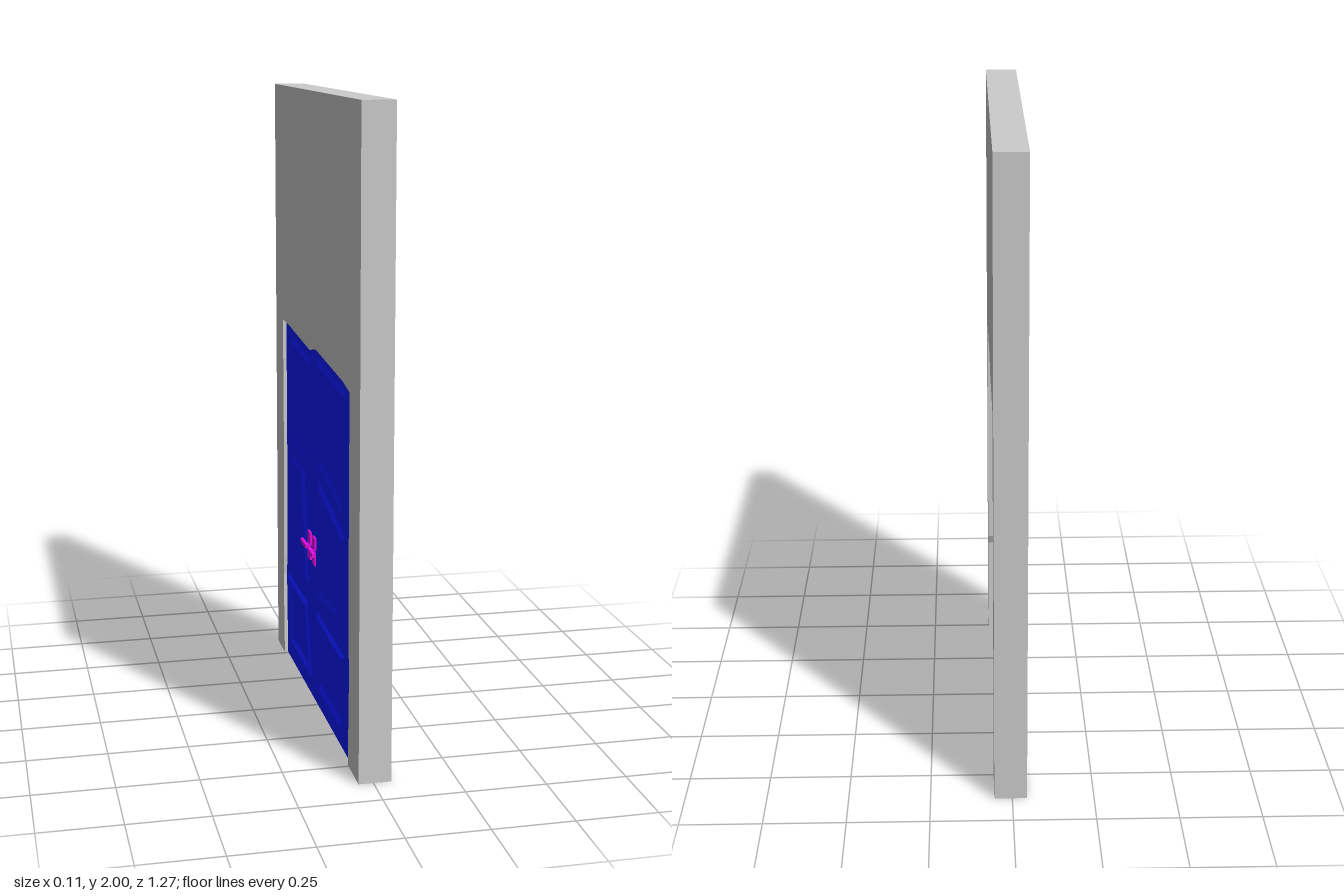
import * as THREE from 'three';

const grey = new THREE.MeshStandardMaterial({ color: 0xcccccc });
const blue = new THREE.MeshStandardMaterial({ color: 0x0f1aff });
const magenta = new THREE.MeshStandardMaterial({ color: 0xe30ce3 });

// Extrudes a [z, y] outline along x, from x0 to x1
function slab(name, points, x0, x1, material) {
  const shape = new THREE.Shape(points.map(([z, y]) => new THREE.Vector2(-z, y)));
  const geometry = new THREE.ExtrudeGeometry(shape, { depth: x1 - x0, bevelEnabled: false });
  geometry.rotateY(Math.PI / 2).translate(x0, 0, 0);
  const mesh = new THREE.Mesh(geometry, material);
  mesh.name = name;
  return mesh;
}

// Ridged moulding around a crooked panel; corners run top left, top right, bottom right, bottom left
function moulding(corners, x) {
  const cz = corners.reduce((s, c) => s + c[0], 0) / 4;
  const cy = corners.reduce((s, c) => s + c[1], 0) / 4;
  const rings = [[0, 0], [0.1, 0.008], [0.22, 0]]; // inset towards the centre, height
  const positions = [];
  const index = [];
  for (const [t, h] of rings) {
    for (const [z, y] of corners) positions.push(x - h, y + (cy - y) * t, z + (cz - z) * t);
  }
  for (let r = 0; r < rings.length - 1; r++) {
    for (let i = 0; i < 4; i++) {
      const j = (i + 1) % 4;
      const a = r * 4 + i, b = a + 4, d = r * 4 + j, c = d + 4;
      index.push(a, b, c, a, c, d);
    }
  }
  const indexed = new THREE.BufferGeometry();
  indexed.setAttribute('position', new THREE.Float32BufferAttribute(positions, 3));
  indexed.setIndex(index);
  const geometry = indexed.toNonIndexed();
  geometry.computeVertexNormals();
  const mesh = new THREE.Mesh(geometry, blue);
  mesh.name = 'panelMoulding';
  return mesh;
}

function box(name, sx, sy, sz, x, y, z) {
  const mesh = new THREE.Mesh(new THREE.BoxGeometry(sx, sy, sz), magenta);
  mesh.name = name;
  mesh.position.set(x, y, z);
  return mesh;
}

export function createModel() {
  const group = new THREE.Group();
  group.name = 'doubleDoorInWall';

  // Crooked doorway, split at the seam between the two leaves
  const frontSide = [[0.49, 0], [0.505, 0.33], [0.493, 0.36], [0.493, 0.52], [0.5, 1.16], [0.41, 1.175], [0.03, 1.2]];
  const seam = [[-0.068, 1.182], [-0.06, 0]];
  const backSide = [[-0.4, 1.205], [-0.512, 1.207], [-0.507, 0.8], [-0.515, 0.36], [-0.523, 0.29], [-0.51, 0]];

  // Wall with the doorway cut out of its foot
  const opening = [...frontSide, seam[0], ...backSide];
  group.add(slab('wall', [[-0.633, 0], [-0.633, 2], [0.633, 2], [0.633, 0], ...opening], -0.045, 0.055, grey));

  // Door leaves, set back from both wall faces
  const faceX = -0.033;
  group.add(slab('frontLeaf', [...frontSide, ...seam], faceX, 0.036, blue));
  group.add(slab('backLeaf', [seam[1], seam[0], ...backSide], faceX, 0.036, blue));

  // Six crooked panels
  const panels = [
    [[-0.41, 1.165], [-0.095, 1.145], [-0.148, 0.773], [-0.42, 0.79]],
    [[0.01, 1.17], [0.4, 1.14], [0.4, 0.74], [0.01, 0.81]],
    [[-0.42, 0.75], [-0.21, 0.75], [-0.137, 0.365], [-0.475, 0.36]],
    [[0.03, 0.77], [0.4, 0.69], [0.35, 0.39], [-0.03, 0.36]],
    [[-0.485, 0.305], [-0.16, 0.3], [-0.085, 0.06], [-0.42, 0.065]],
    [[0, 0.32], [0.39, 0.31], [0.39, 0.06], [0.01, 0.06]],
  ];
  for (const corners of panels) group.add(moulding(corners, faceX));

  // Lever handles with a plate on each leaf
  for (const [name, plateZ, leverZ, length] of [['frontHandle', -0.038, -0.02, 0.07], ['backHandle', -0.108, -0.132, 0.084]]) {
    const handle = new THREE.Group();
    handle.name = name;
    handle.add(
      box('upperPlate', 0.008, 0.04, 0.036, -0.036, 0.546, plateZ),
      box('lowerPlate', 0.008, 0.04, 0.036, -0.036, 0.492, plateZ),
      box('spindle', 0.02, 0.012, 0.012, -0.042, 0.519, plateZ),
      box('lever', 0.01, 0.013, length, -0.05, 0.519, leverZ),
    );
    group.add(handle);
  }
  return group;
}
